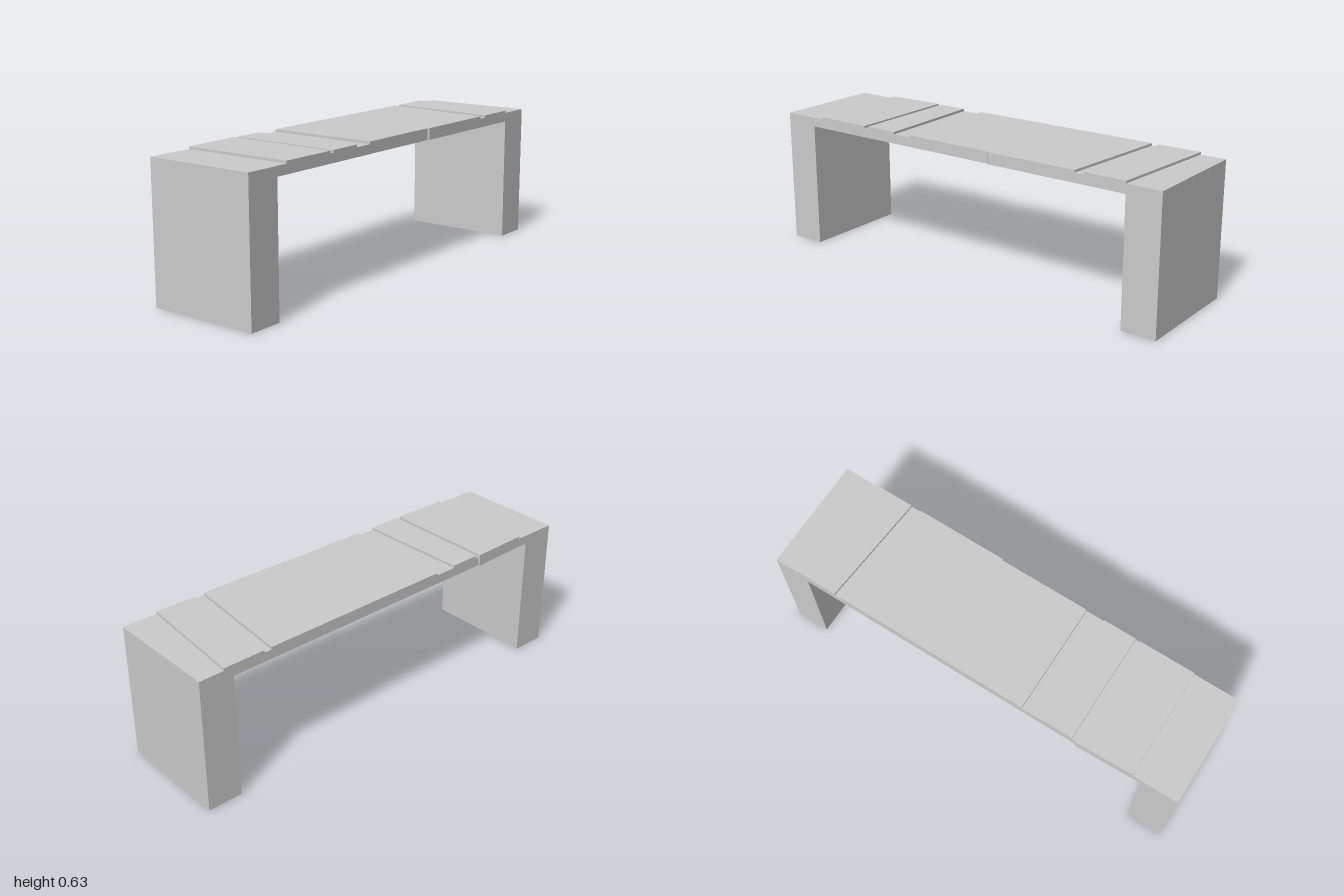
import * as THREE from 'three';

const BASE = 0.575, DECK = 0.617, TOP = 0.628;

export function createModel() {
  const group = new THREE.Group();
  group.name = 'bench';
  const material = new THREE.MeshStandardMaterial({ color: 0xcccccc, flatShading: true });

  // Vertical prism from a plan outline of [x, z] points between two heights
  function prism(name, plan, y0, y1) {
    const shape = new THREE.Shape(plan.map(([x, z]) => new THREE.Vector2(x, -z)));
    const geometry = new THREE.ExtrudeGeometry(shape, { depth: y1 - y0, bevelEnabled: false });
    geometry.rotateX(-Math.PI / 2);
    geometry.translate(0, y0, 0);
    const mesh = new THREE.Mesh(geometry, material);
    mesh.name = name;
    group.add(mesh);
  }

  // Slightly uneven long edges of the seat
  const back = (x) => (x <= -0.52
    ? -0.257 - 0.009 * Math.max(0, (x + 0.79) / 0.27)
    : -0.259 - 0.007 * (x + 0.52) / 1.52);
  const front = (x) => (x < 0.17 ? 0.258 : 0.264);

  // Seat deck with a small jog in the back edge and one in the front edge
  prism('seatDeck', [
    [-1, 0.258], [0.17, 0.258], [0.175, 0.264], [1, 0.264],
    [1, back(1)], [-0.519, back(-0.519)], [-0.52, back(-0.52)],
    [-0.79, back(-0.79)], [-1, back(-1)],
  ], BASE, DECK);

  // Block legs
  prism('rightLeg', [[-1, 0.258], [-0.84, 0.258], [-0.84, -0.257], [-1, -0.257]], 0, BASE);
  prism('leftLeg', [[0.84, 0.264], [1, 0.264], [1, back(1)], [0.84, back(0.84)]], 0, BASE);

  // Raised slabs separated by grooves: front start, front end, back start, back end
  const slabs = [
    [-0.785, -0.52, -0.79, -0.52],
    [-0.5, -0.345, -0.5, -0.36],
    [-0.257, 0.605, -0.257, 0.655],
    [0.65, 0.84, 0.69, 0.885],
  ];
  slabs.forEach(([f0, f1, b0, b1], i) => {
    const plan = [[f0, front(f0)]];
    if (f0 < 0.17 && f1 > 0.17) plan.push([0.17, 0.258], [0.175, 0.264]);
    plan.push([f1, front(f1)], [b1, back(b1)], [b0, back(b0)]);
    prism('seatSlab' + (i + 1), plan, DECK, TOP);
  });

  return group;
}
